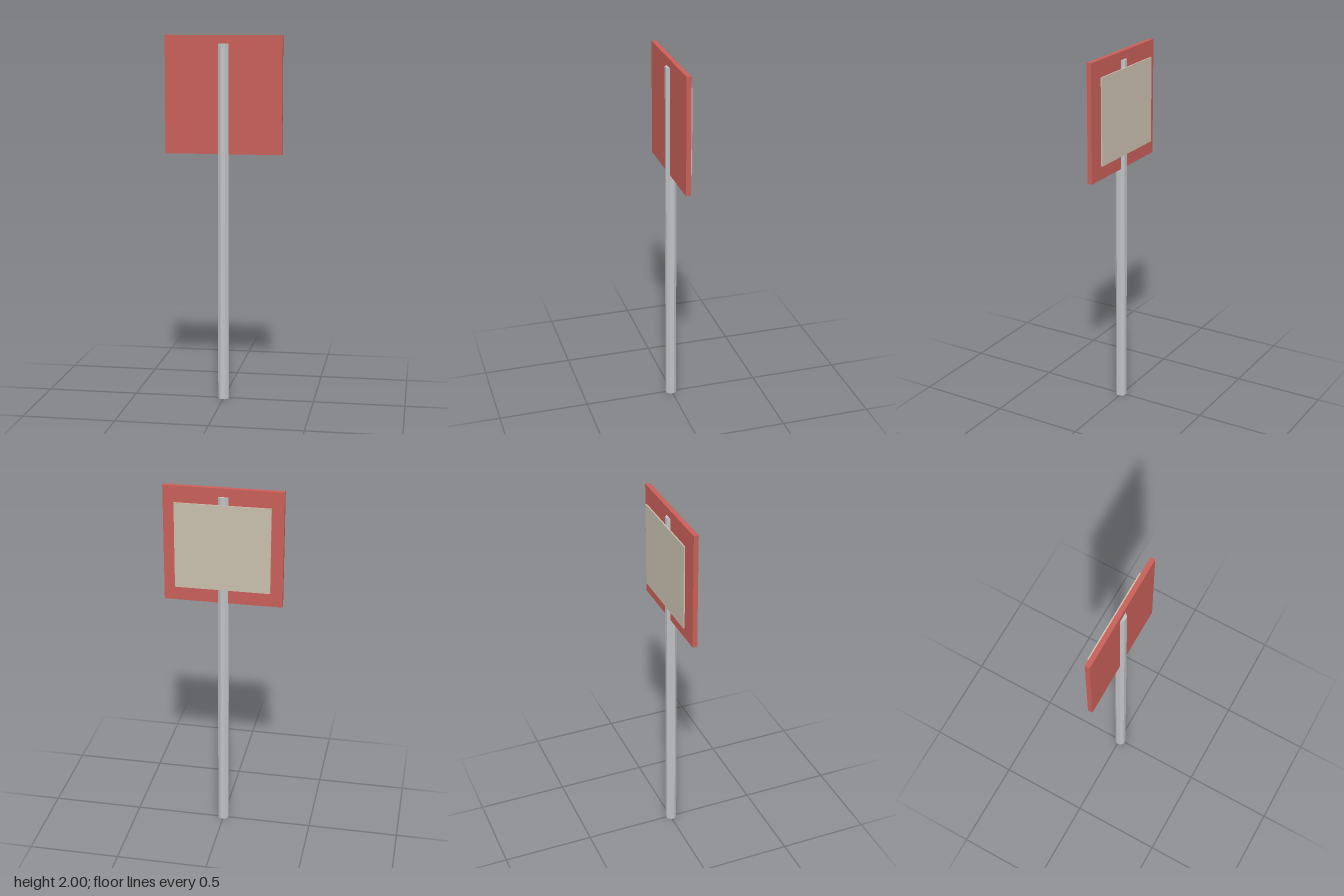
import * as THREE from 'three';

export function createModel() {
  const group = new THREE.Group();
  group.name = 'signpost';

  const material = (name, color) => {
    const m = new THREE.MeshStandardMaterial({ color });
    m.name = name;
    return m;
  };
  const red = material('sign red', 0xc85f58);
  const steel = material('galvanised grey', 0xc0c1c4);
  const beige = material('plate beige', 0xc8bfae);
  steel.flatShading = true;

  const add = (name, geometry, mat, y, z) => {
    const mesh = new THREE.Mesh(geometry, mat);
    mesh.name = name;
    mesh.position.set(0, y, z);
    group.add(mesh);
  };

  // Octagonal post with flat sides facing front and back
  const apothem = 0.0285, postHeight = 1.955;
  const radius = apothem / Math.cos(Math.PI / 8);
  const post = new THREE.CylinderGeometry(radius, radius, postHeight, 8);
  post.rotateY(Math.PI / 8);
  add('post', post, steel, postHeight / 2, 0.0045);

  // Square board pierced by the post
  add('board', new THREE.BoxGeometry(0.636, 0.636, 0.026), red, 1.682, 0.004);

  // Thin plate fixed behind the post
  add('backPlate', new THREE.BoxGeometry(0.51, 0.47, 0.007), beige, 1.682, -0.03);

  return group;
}
